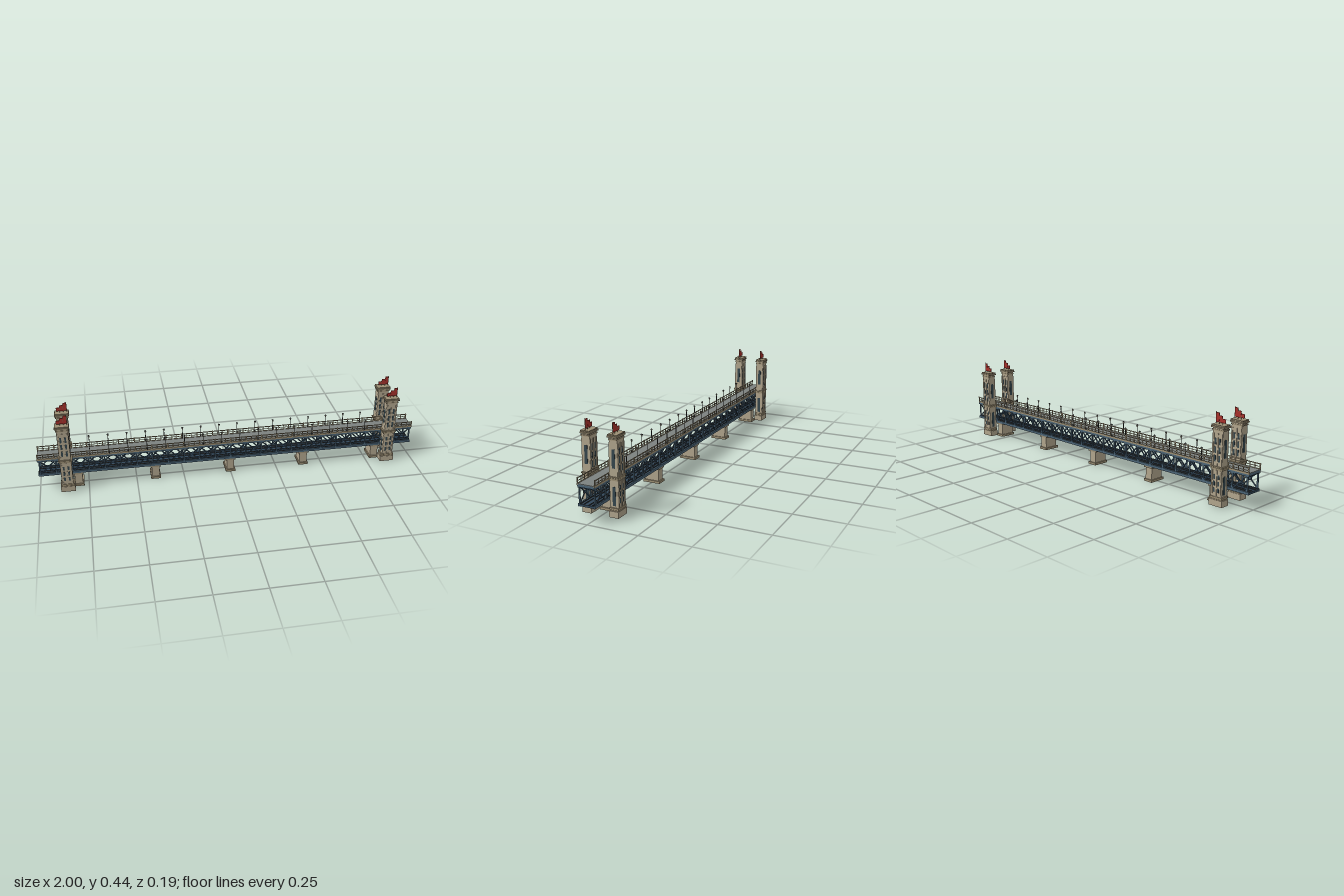
import * as THREE from 'three';
import { mergeGeometries } from 'three/addons/utils/BufferGeometryUtils.js';

const mat = (name, color, extra = {}) => {
  const m = new THREE.MeshStandardMaterial({ color, ...extra });
  m.name = name;
  return m;
};

const box = (w, h, d, x, y, z, rotZ = 0) => {
  const g = new THREE.BoxGeometry(w, h, d);
  if (rotZ) g.rotateZ(rotZ);
  return g.translate(x, y, z);
};
// Box given by its bottom and top heights
const slab = (w, y0, y1, d, x = 0, z = 0) => box(w, y1 - y0, d, x, (y0 + y1) / 2, z);
const rod = (r, y0, y1, x, z, n = 6) =>
  new THREE.CylinderGeometry(r, r, y1 - y0, n).translate(x, (y0 + y1) / 2, z);

export function createModel() {
  const stone = mat('stone', 0xb0a48c);
  const trim = mat('stone trim', 0x9c8f74);
  const glass = mat('dark window', 0x34454c);
  const steel = mat('blue steel', 0x4a6375);
  const darkSteel = mat('dark steel', 0x33485a);
  const road = mat('road grey', 0x7d8280);
  const iron = mat('iron', 0x3a3c3c);
  const lampGlass = mat('lamp glass', 0xe4dcc0);
  const red = mat('flag red', 0xa5302a, { side: THREE.DoubleSide });
  const bronze = mat('bronze', 0x7a624a);

  const root = new THREE.Group();
  root.name = 'trussBridge';
  const add = (parent, name, material, geos) => {
    const m = new THREE.Mesh(mergeGeometries(geos), material);
    m.name = name;
    parent.add(m);
    return m;
  };

  // Decks
  add(root, 'upperDeck', steel, [slab(2, 0.168, 0.18, 0.082)]);
  add(root, 'lowerDeck', darkSteel, [slab(2, 0.081, 0.091, 0.078)]);
  add(root, 'roadway', road, [slab(2, 0.18, 0.183, 0.08)]);
  add(root, 'deckEdge', trim, [-1, 1].map(s => slab(2, 0.176, 0.185, 0.005, 0, s * 0.0425)));
  add(root, 'tracks', iron, [-0.03, -0.013, 0.013, 0.03].map(z => slab(2, 0.091, 0.095, 0.002, 0, z)));

  // Side trusses: chords, posts, crossed braces and centre plates
  const bays = 24, bay = 1.98 / bays;
  const chords = [], posts = [], braces = [], beams = [];
  const y0 = 0.09, y1 = 0.17, ym = (y0 + y1) / 2;
  for (const s of [-1, 1]) {
    const z = s * 0.039;
    chords.push(slab(2, 0.08, 0.093, 0.007, 0, z), slab(2, 0.165, 0.177, 0.007, 0, z));
    for (let i = 0; i <= bays; i++) {
      const x = -0.99 + i * bay;
      posts.push(slab(0.007, y0, y1, 0.006, x, z));
      if (i === bays) continue;
      const len = Math.hypot(bay, y1 - y0), a = Math.atan2(y1 - y0, bay);
      for (const d of [-1, 1]) braces.push(box(len, 0.006, 0.003, x + bay / 2, ym, z + d * 0.001, d * a));
      braces.push(box(0.014, 0.014, 0.006, x + bay / 2, ym, z));
    }
  }
  for (let i = 0; i <= bays; i++) beams.push(slab(0.008, 0.162, 0.17, 0.076, -0.99 + i * bay));
  add(root, 'trussChords', steel, chords);
  add(root, 'trussPosts', steel, posts);
  add(root, 'trussBraces', darkSteel, braces);
  add(root, 'crossBeams', darkSteel, beams);

  // Railings
  const rails = [];
  for (const s of [-1, 1]) {
    const z = s * 0.0435;
    rails.push(slab(2, 0.205, 0.209, 0.003, 0, z), slab(2, 0.193, 0.1955, 0.002, 0, z));
    for (let i = 0; i <= 72; i++) {
      const w = i % 3 ? 0.003 : 0.006;
      rails.push(slab(w, 0.183, i % 3 ? 0.206 : 0.211, 0.003, -0.996 + i * 1.992 / 72, z));
    }
  }
  add(root, 'railings', trim, rails);

  // Street lamps
  const lampPoles = [], lanterns = [];
  for (const s of [-1, 1]) {
    for (let i = 0; i < 16; i++) {
      const x = -0.731 + i * 0.0975, z = s * 0.043;
      lampPoles.push(rod(0.0018, 0.183, 0.237, x, z), rod(0.0035, 0.183, 0.193, x, z),
        new THREE.ConeGeometry(0.0065, 0.006, 6).translate(x, 0.248, z));
      lanterns.push(new THREE.CylinderGeometry(0.005, 0.003, 0.009, 6).translate(x, 0.241, z));
    }
  }
  add(root, 'lampPoles', iron, lampPoles);
  add(root, 'lanterns', lampGlass, lanterns);

  // River piers
  [-0.8, -0.4, 0, 0.4, 0.8].forEach(x => {
    const pier = new THREE.Group();
    pier.name = 'pier';
    pier.position.x = x;
    add(pier, 'pierShaft', stone, [slab(0.04, 0.012, 0.073, 0.074)]);
    add(pier, 'pierFooting', trim, [slab(0.052, 0.001, 0.013, 0.088)]);
    add(pier, 'pierCap', trim, [slab(0.054, 0.072, 0.08, 0.084)]);
    root.add(pier);
  });

  // Four towers, each a stack of slabs with pilasters, windows and flags
  for (const sx of [-1, 1]) for (const sz of [-1, 1]) {
    const tower = new THREE.Group();
    tower.name = 'tower';
    tower.position.set(sx * 0.856, 0, sz * 0.069);

    const pilasters = [], windows = [];
    for (const f of [-1, 1]) {
      for (const [a, b] of [[0.052, 0.175], [0.196, 0.345]]) {
        for (const x of [-0.024, 0, 0.024]) pilasters.push(slab(0.008, a, b, 0.004, x, f * 0.021));
        for (const x of [-0.012, 0.012]) for (let r = 0; r < 3; r++) {
          const h = (b - a - 0.03) / 3, y = a + 0.018 + r * h;
          windows.push(slab(0.009, y, y + h - 0.01, 0.002, x, f * 0.02));
        }
      }
      // Tall windows on the end faces
      for (const [a, b] of [[0.058, 0.146], [0.231, 0.317]])
        windows.push(slab(0.002, a, b, 0.016, f * 0.029, 0));
    }
    add(tower, 'towerShaft', stone, [slab(0.058, 0.035, 0.38, 0.04)]);
    add(tower, 'towerBase', stone, [slab(0.074, 0.005, 0.035, 0.047)]);
    add(tower, 'pilasters', stone, pilasters);
    add(tower, 'towerWindows', glass, windows);
    add(tower, 'mouldings', trim, [
      slab(0.066, 0.035, 0.039, 0.043), slab(0.07, 0.041, 0.05, 0.046),
      slab(0.066, 0.176, 0.185, 0.046), slab(0.072, 0.187, 0.193, 0.05),
      slab(0.066, 0.358, 0.364, 0.044), slab(0.074, 0.37, 0.377, 0.05),
      slab(0.07, 0.379, 0.384, 0.046)]);

    // Flags rising in steps towards +x
    const poles = [], flags = [];
    for (let i = 0; i < 3; i++) {
      const x = -0.008 + i * 0.018, top = 0.414 + i * 0.0125;
      poles.push(rod(0.0015, 0.383, top, x, 0));
      flags.push(box(0.017, top - 0.395, 0.003, x - 0.009, (top + 0.387) / 2, 0));
    }
    add(tower, 'flagPoles', bronze, poles);
    add(tower, 'flags', red, flags);
    root.add(tower);
  }
  return root;
}
